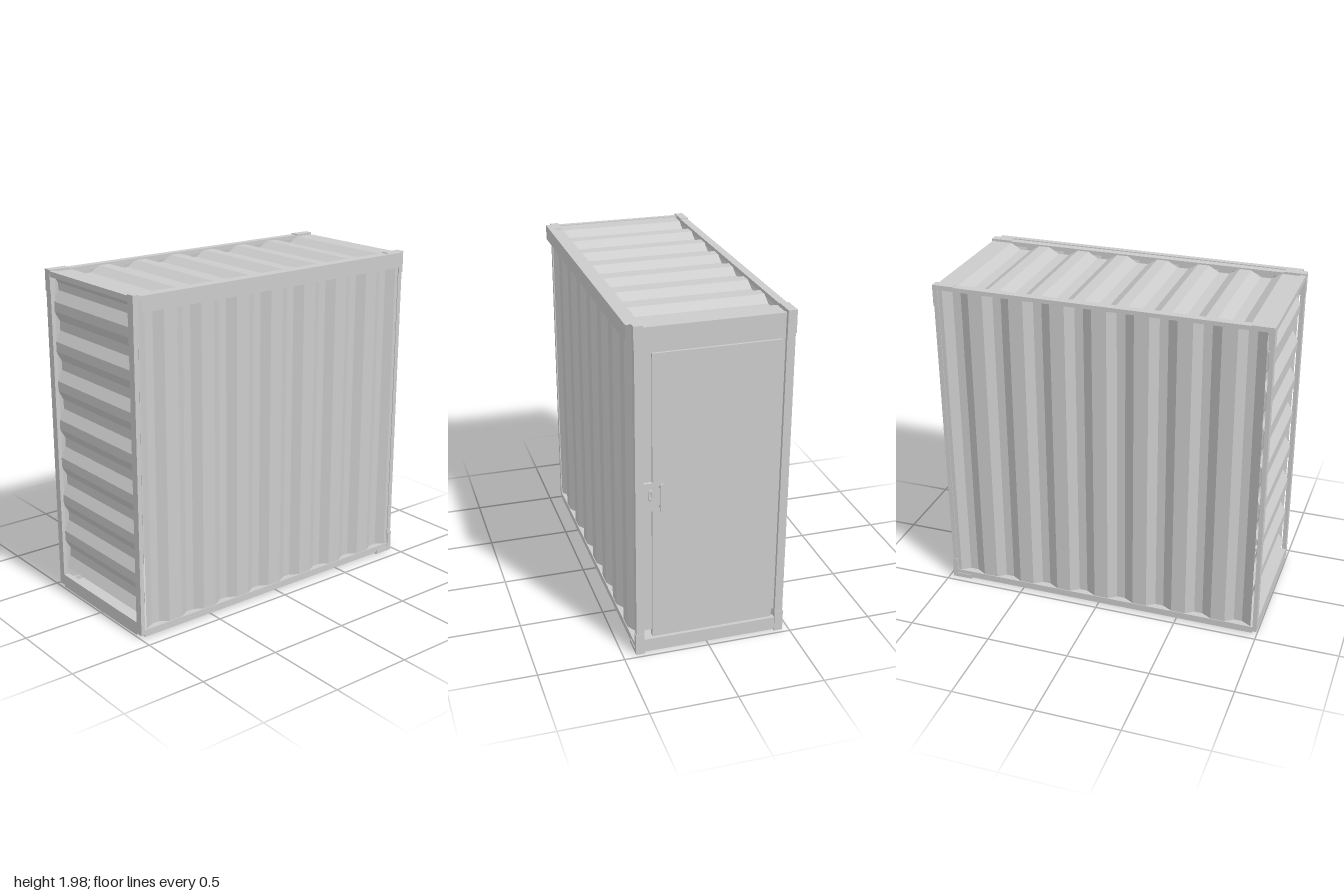
import * as THREE from 'three';

const grey = new THREE.MeshStandardMaterial({ color: 0xcccccc, flatShading: true });
const sheetGrey = new THREE.MeshStandardMaterial({ color: 0xcccccc, flatShading: true, side: THREE.DoubleSide });

// Trapezoid wave from start to end: falls, runs low, rises, runs high
function wave(start, end, pitch, count, depth, fall, low, rise) {
  const pts = [[start, 0]];
  for (let i = 0; i < count; i++) {
    const u = start + i * pitch;
    if (i > 0) pts.push([u, 0]);
    pts.push([u + fall, -depth], [u + fall + low, -depth], [u + fall + low + rise, 0]);
  }
  pts.push([end, 0]);
  return pts;
}

// Corrugated sheet: profile along x, relief along z, straight along y
function sheet(profile, length) {
  const g = new THREE.PlaneGeometry(1, length, profile.length - 1, 1);
  const p = g.attributes.position;
  for (let i = 0; i < p.count; i++) {
    const [u, d] = profile[i % profile.length];
    p.setX(i, u);
    p.setZ(i, d);
  }
  const flat = g.toNonIndexed();
  flat.computeVertexNormals();
  return flat;
}

export function createModel() {
  const model = new THREE.Group();
  const add = (name, geometry, material = grey) => {
    const mesh = new THREE.Mesh(geometry, material);
    mesh.name = name;
    model.add(mesh);
    return mesh;
  };
  // Box given by its limits on each axis
  const box = (name, x0, x1, y0, y1, z0, z1) =>
    add(name, new THREE.BoxGeometry(x1 - x0, y1 - y0, z1 - z0))
      .position.set((x0 + x1) / 2, (y0 + y1) / 2, (z0 + z1) / 2);

  // Long side walls
  const side = wave(-0.96, 0.965, 0.246, 8, 0.035, 0.06, 0.05, 0.05);
  const wallH = 1.9;
  add('frontWall', sheet(side, wallH), sheetGrey).position.set(0, 0.05 + wallH / 2, 0.418);
  const mirrored = side.map(([u, d]) => [-u, d]).reverse();
  const back = add('backWall', sheet(mirrored, wallH).rotateY(Math.PI), sheetGrey);
  back.position.set(0, 0.05 + wallH / 2, -0.453);

  // Roof
  const roof = wave(-0.985, 0.97, 0.253, 7, 0.035, 0.06, 0.065, 0.06)
    .map(([u, d]) => [u, d]);
  // Shift the ribs along the roof while keeping its ends
  roof.forEach((pt, i) => { if (i > 0 && i < roof.length - 1) pt[0] += 0.125; });
  roof.splice(1, 0, [roof[0][0] + 0.125, 0]);
  add('roof', sheet(roof, 0.77).rotateX(-Math.PI / 2), sheetGrey).position.set(0, 1.968, -0.015);

  // Left end wall with level ribs
  const end = wave(0.14, 1.95, 0.2365, 7, 0.035, 0.06, 0.058, 0.06);
  end.splice(end.length - 1, 0, [1.795, 0], [1.855, -0.035], [1.9, -0.035]);
  const endWall = sheet(end, 0.8).rotateZ(Math.PI / 2).rotateY(-Math.PI / 2);
  add('leftEndWall', endWall, sheetGrey).position.set(-0.978, 0, -0.018);

  // Floor
  box('floor', -0.985, 0.965, 0.01, 0.03, -0.41, 0.38);

  // Posts, rails and corner blocks on both long sides
  for (const [z0, z1, out] of [[0.375, 0.422, 1], [-0.458, -0.411, -1]]) {
    const label = out > 0 ? 'front' : 'back';
    box(label + 'LeftPost', -0.998, -0.973, 0.022, 1.975, z0, z1);
    box(label + 'RightPost', 0.945, 0.973, 0.01, 1.975, z0, z1);
    box(label + 'TopRail', -0.998, 0.973, 1.95, 1.975, z0, z1);
    box(label + 'BottomRail', -0.973, 0.965, 0.01, 0.052, z0, z1);
    const c0 = out > 0 ? z0 : z0 - 0.004;
    const c1 = out > 0 ? z1 + 0.004 : z1;
    box(label + 'LeftTopCorner', -1, -0.87, 1.968, 1.98, c0, c1);
    box(label + 'RightTopCorner', 0.85, 0.975, 1.968, 1.98, c0, c1);
    box(label + 'Foot', 0.85, 0.975, 0, 0.028, c0, c1);
    box(label + 'LeftTopCornerBlock', -1, -0.967, 1.85, 1.98, c0, c1);
    for (const y of [0, 1.85]) box(label + 'RightCornerBlock', 0.947, 0.976, y, y + 0.13, c0, c1);
  }

  // Cross beams on both ends
  box('leftSill', -0.998, -0.965, 0.01, 0.09, -0.411, 0.375);
  box('leftHeader', -0.998, -0.965, 1.94, 1.972, -0.411, 0.375);
  box('rightSill', 0.94, 0.972, 0.01, 0.09, -0.411, 0.375);
  box('rightTopBeam', 0.945, 0.97, 1.94, 1.968, -0.405, 0.375);

  // Door surround and door
  box('doorHeader', 0.93, 0.952, 1.82, 1.94, -0.411, 0.375);
  box('doorFrontJamb', 0.93, 0.952, 0.14, 1.82, 0.325, 0.375);
  box('doorBackJamb', 0.93, 0.952, 0.14, 1.82, -0.411, -0.39);
  box('door', 0.935, 0.966, 0.1, 1.82, -0.39, 0.325);

  // Lock plate, pull bar and latch ring
  box('lockPlate', 0.945, 0.972, 0.91, 1.08, 0.325, 0.378);
  box('pullBar', 0.988, 1, 0.91, 1.08, 0.272, 0.29);
  for (const y of [0.93, 1.045]) box('pullBarMount', 0.96, 0.99, y, y + 0.015, 0.275, 0.287);
  const ring = new THREE.TorusGeometry(0.009, 0.004, 6, 16).scale(1, 2.8, 1).rotateY(Math.PI / 2);
  add('latchRing', ring).position.set(0.992, 1.02, 0.345);
  box('latchStem', 0.97, 0.992, 1.01, 1.03, 0.341, 0.349);

  // Shutter cover above the front wall: thin face and top, open below
  const face = new THREE.PlaneGeometry(1.91, 0.09);
  add('coverFace', face, sheetGrey).position.set(-0.015, 1.935, 0.458);
  const lid = new THREE.PlaneGeometry(1.91, 0.036).rotateX(-Math.PI / 2);
  add('coverTop', lid, sheetGrey).position.set(-0.015, 1.98, 0.44);

  return model;
}
